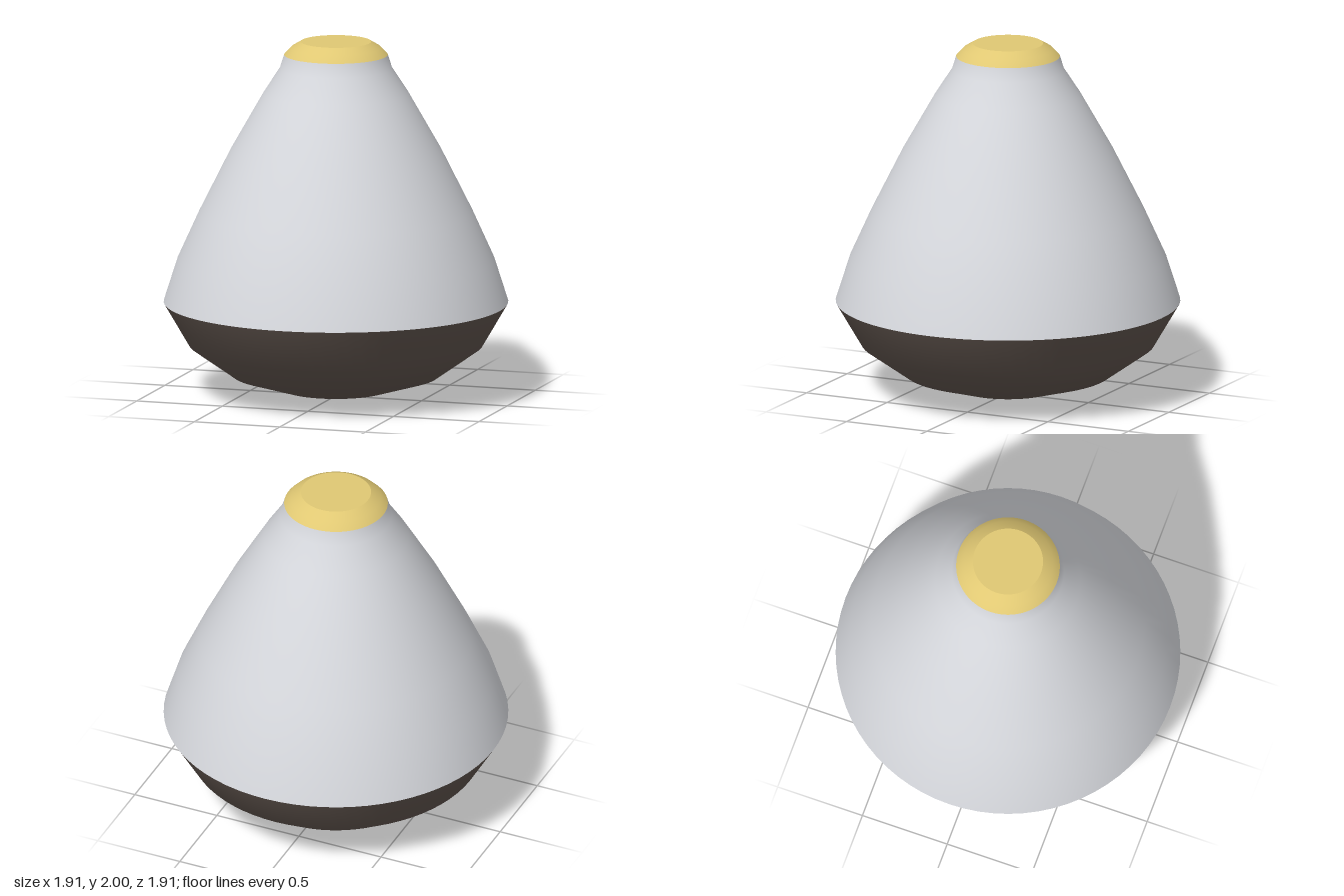
import * as THREE from 'three';

export function createModel() {
  const group = new THREE.Group();
  const shellGrey = new THREE.MeshStandardMaterial({ color: 0xd6d8dd });
  const heatShieldBrown = new THREE.MeshStandardMaterial({ color: 0x62564f });
  const capYellow = new THREE.MeshStandardMaterial({ color: 0xe0c873 });

  // Revolve a bottom-to-top [radius, height] profile
  const addLathe = (name, profile, material) => {
    const points = profile.map(([r, y]) => new THREE.Vector2(r, y));
    const mesh = new THREE.Mesh(new THREE.LatheGeometry(points, 72), material);
    mesh.name = name;
    group.add(mesh);
  };

  // Shallow rounded underside
  addLathe('heatShield', [
    [0, 0], [0.29, 0.035], [0.575, 0.12], [0.815, 0.29], [0.957, 0.533],
  ], heatShieldBrown);

  // Tapering body with a slight flare at the neck
  addLathe('capsuleShell', [
    [0.957, 0.533], [0.88, 0.775], [0.76, 1.04], [0.585, 1.39],
    [0.403, 1.71], [0.312, 1.85], [0.288, 1.927],
  ], shellGrey);

  // Bevelled nose cap and its flat top
  addLathe('noseCap', [
    [0.288, 1.927], [0.25, 1.967], [0.195, 2],
  ], capYellow);
  addLathe('noseCapTop', [[0.195, 2], [0, 2]], capYellow);

  return group;
}
